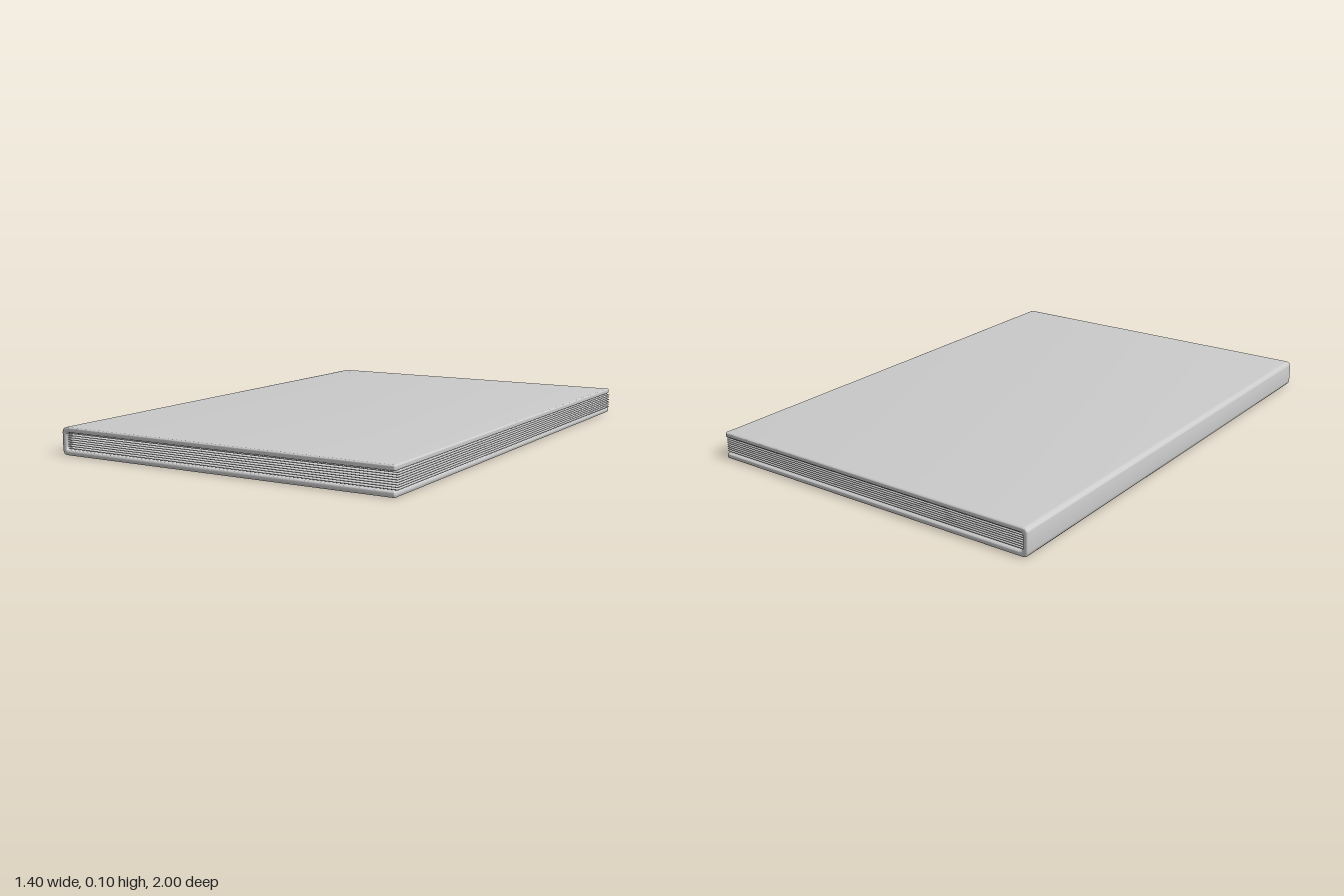
import * as THREE from 'three';
import { toCreasedNormals } from 'three/addons/utils/BufferGeometryUtils.js';

export function createModel() {
  const book = new THREE.Group();
  book.name = 'book';
  const material = new THREE.MeshStandardMaterial({ color: 0xcccccc });

  // Cover: one C-shaped section, spine on -x, extruded along z with rounded rims
  const left = -0.7, right = 0.695, height = 0.105, board = 0.02;
  const outer = 0.022, inner = 0.012, rim = 0.006;
  const inL = left + board, inTop = height - board;
  const s = new THREE.Shape();
  const corner = (cx, cy, x, y) => s.quadraticCurveTo(cx, cy, x, y);
  s.moveTo(left + outer, 0);
  s.lineTo(right - rim, 0);
  corner(right, 0, right, rim);
  s.lineTo(right, board - rim);
  corner(right, board, right - rim, board);
  s.lineTo(inL + inner, board);
  corner(inL, board, inL, board + inner);
  s.lineTo(inL, inTop - inner);
  corner(inL, inTop, inL + inner, inTop);
  s.lineTo(right - rim, inTop);
  corner(right, inTop, right, inTop + rim);
  s.lineTo(right, height - rim);
  corner(right, height, right - rim, height);
  s.lineTo(left + outer, height);
  corner(left, height, left, height - outer);
  s.lineTo(left, outer);
  corner(left, 0, left + outer, 0);

  const depth = 2 - 2 * rim;
  const coverGeo = new THREE.ExtrudeGeometry(s, {
    depth, curveSegments: 6, bevelEnabled: true, bevelSize: rim,
    bevelThickness: rim, bevelOffset: -rim, bevelSegments: 3,
  });
  coverGeo.translate(0, 0, -depth / 2);
  const cover = new THREE.Mesh(toCreasedNormals(coverGeo, 0.7), material);
  cover.name = 'cover';
  book.add(cover);

  // Pages: a stack of thin separate sheets, bound at the spine
  const pages = new THREE.Group();
  pages.name = 'pages';
  const count = 8, first = 0.025, last = 0.081;
  const sheetGeo = new THREE.BoxGeometry(0.7 - inL, 0.002, 1.98);
  for (let i = 0; i < count; i++) {
    const sheet = new THREE.Mesh(sheetGeo, material);
    sheet.name = 'sheet';
    sheet.position.set((0.7 + inL) / 2, first + (last - first) * i / (count - 1), 0);
    pages.add(sheet);
  }
  book.add(pages);
  return book;
}
